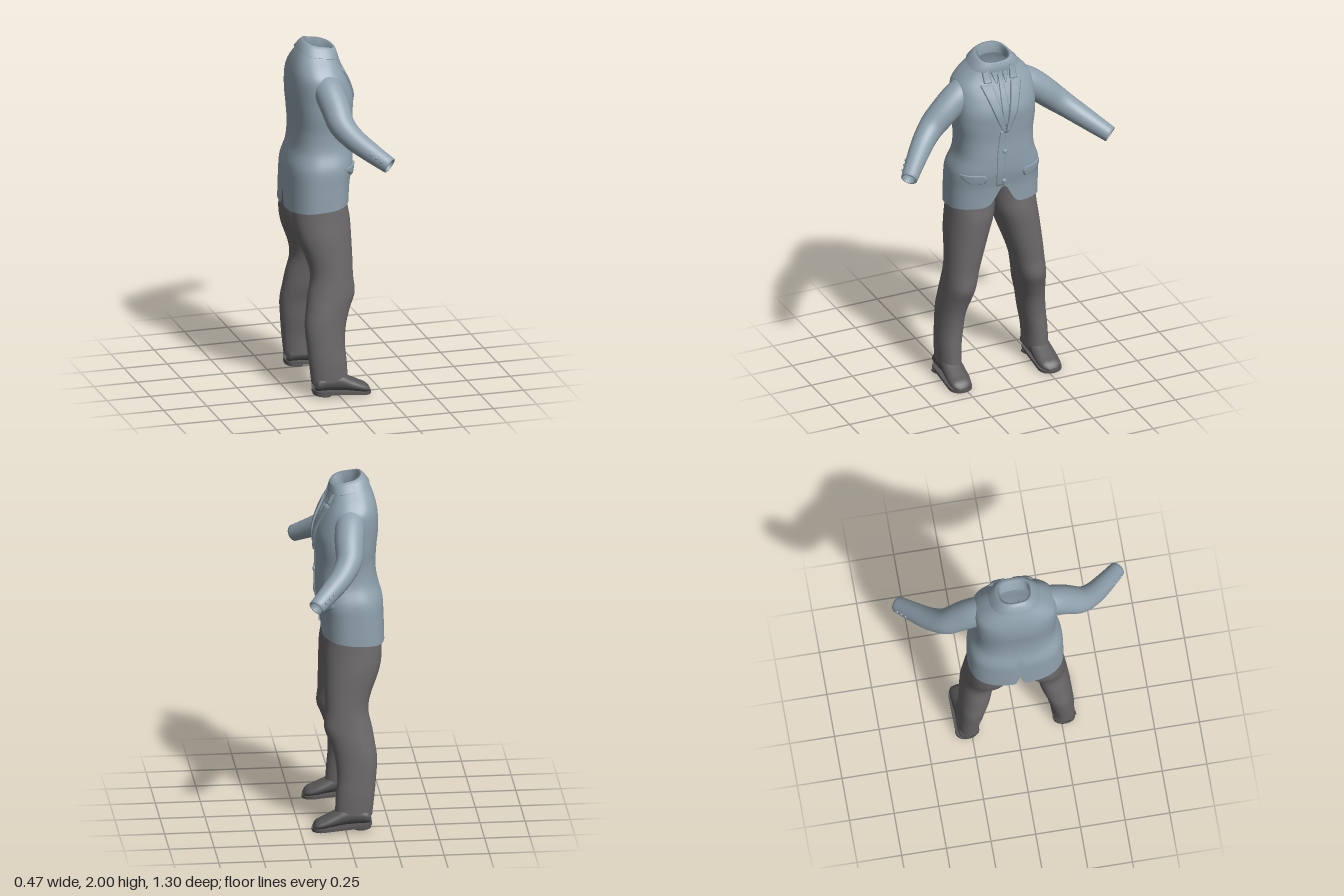
import * as THREE from 'three';

const mat = (name, color) => {
  const m = new THREE.MeshStandardMaterial({ color, side: THREE.DoubleSide });
  m.name = name;
  return m;
};

// Smooth surface through fn(u, v); u wraps round when closed
function loft(fn, nu, nv, closed = true) {
  const pos = [], idx = [], cols = closed ? nu : nu + 1;
  for (let j = 0; j <= nv; j++)
    for (let i = 0; i < cols; i++) pos.push(...fn(i / nu, j / nv));
  for (let j = 0; j < nv; j++)
    for (let i = 0; i < nu; i++) {
      const k = (i + 1) % cols;
      const a = j * cols + i, b = a + cols, c = j * cols + k, d = c + cols;
      idx.push(a, b, c, b, d, c);
    }
  const g = new THREE.BufferGeometry();
  g.setAttribute('position', new THREE.Float32BufferAttribute(pos, 3));
  g.setIndex(idx);
  g.computeVertexNormals();
  return g;
}

// Cubic interpolation of rows keyed by their first column
function profile(rows, t) {
  const n = rows.length;
  t = Math.min(Math.max(t, rows[0][0]), rows[n - 1][0]);
  let i = 0;
  while (i < n - 2 && t > rows[i + 1][0]) i++;
  const slope = (k, c) => {
    const a = rows[Math.max(k - 1, 0)], b = rows[Math.min(k + 1, n - 1)];
    return (b[c] - a[c]) / (b[0] - a[0]);
  };
  const p = rows[i], q = rows[i + 1], h = q[0] - p[0], s = (t - p[0]) / h;
  const s2 = s * s, s3 = s2 * s;
  return p.map((_, c) => c === 0 ? t :
    (2 * s3 - 3 * s2 + 1) * p[c] + (3 * s2 - 2 * s3) * q[c] +
    h * ((s3 - 2 * s2 + s) * slope(i, c) + (s3 - s2) * slope(i + 1, c)));
}

const spow = (v, e) => Math.sign(v) * Math.abs(v) ** e;
const TAU = Math.PI * 2, P = 2.6;

// Torso: y, back x, front x, half width
const TORSO = [
  [1.03, -.24, .11, .267], [1.2, -.235, .12, .265], [1.3, -.228, .137, .26],
  [1.4, -.2, .14, .227], [1.5, -.192, .137, .222], [1.6, -.197, .142, .233],
  [1.68, -.205, .143, .235], [1.76, -.205, .118, .235], [1.82, -.198, .09, .225],
  [1.87, -.185, .067, .188], [1.92, -.165, .053, .137], [1.96, -.142, .045, .1],
  [2.0, -.112, .04, .075]];
// Leg: y, back x, front x, inner z, outer z
const LEG = [
  [.085, -.15, .057, .2, .328], [.2, -.163, .05, .195, .328], [.3, -.173, .043, .18, .322],
  [.41, -.18, .053, .165, .315], [.5, -.168, .08, .14, .308], [.58, -.155, .11, .125, .3],
  [.68, -.135, .104, .105, .29], [.76, -.148, .105, .082, .283], [.9, -.2, .105, .035, .272],
  [1.0, -.216, .103, .003, .26], [1.1, -.205, .088, -.01, .248], [1.25, -.18, .08, -.02, .21]];
// Shoe: x, bottom y, top y, inner z, outer z
const UPPER = [
  [-.143, .05, .075, .235, .3], [-.135, .042, .11, .215, .32], [-.08, .04, .14, .207, .328],
  [0, .035, .14, .207, .328], [.06, .028, .108, .205, .332], [.12, .018, .078, .207, .334],
  [.165, .014, .055, .222, .325], [.18, .014, .03, .25, .298]];
const SLEEVE = [
  [-.05, 1.79, .12], [-.035, 1.755, .2], [-.022, 1.69, .285], [-.01, 1.61, .375],
  [.035, 1.55, .45], [.11, 1.49, .53], [.195, 1.43, .612]];
const SLEEVE_R = [[0, .08], [.2, .083], [.4, .077], [.58, .066], [.75, .058], [1, .046]];

function torsoPoint(a, y, off = 0) {
  const [, b, f, w] = profile(TORSO, y);
  return [(b + f) / 2 + ((f - b) / 2 + off) * spow(Math.cos(a), 2 / P), y,
    (w + off) * spow(Math.sin(a), 2 / P)];
}
const neckline = a => 1.972 - .022 * Math.cos(a);
// Hem cut away at the front, with a vent at the back
function hem(a) {
  const z = .265 * spow(Math.sin(a), 2 / P), c = Math.cos(a);
  const notch = c > 0 ? .125 * Math.exp(-((z / .055) ** 2)) : .1 * Math.exp(-((z / .014) ** 2));
  return 1.068 + .02 * c + notch;
}

// Raised panel lying on the chest; rows give y, z start, z end
function drape(rows, off, s = 1) {
  const nu = 10, nv = 24, y0 = rows[0][0], y1 = rows[rows.length - 1][0];
  return loft((u, v) => {
    const rim = u === 0 || u === 1 || v === 0 || v === 1;
    const inset = (t, n) => Math.min(Math.max((t * n - 1) / (n - 2), 0), 1);
    const y = y0 + (y1 - y0) * inset(v, nv);
    const [, za, zb] = profile(rows, y);
    const k = s > 0 ? inset(u, nu) : 1 - inset(u, nu);
    const z = s * (za + (zb - za) * k);
    const [, b, f, w] = profile(TORSO, y);
    const x = (b + f) / 2 + (f - b) / 2 * (1 - Math.min(Math.abs(z / w), .99) ** P) ** (1 / P);
    return [x + (rim ? -.003 : off), y, z];
  }, nu, nv, false);
}

export function createModel() {
  const model = new THREE.Group();
  const cloth = mat('blue grey jacket', 0x8fa1ad);
  const wool = mat('dark grey trousers', 0x6b686a);
  const leather = mat('charcoal shoes', 0x585657);
  const add = (name, geo, m, parent = model) => {
    const mesh = new THREE.Mesh(geo, m);
    mesh.name = name;
    parent.add(mesh);
    return mesh;
  };

  // Jacket body
  add('jacketBody', loft((u, v) => {
    const a = u * TAU, y = hem(a) + (neckline(a) - hem(a)) * v;
    return torsoPoint(a, y);
  }, 160, 70), cloth);

  // Turned-down collar with an inner lip
  const lip = [[-.05, 0], [-.046, .011], [-.01, .011], [.005, .006], [.002, -.01], [-.06, -.055]];
  add('collar', loft((u, v) => {
    const a = u * TAU, [dy, off] = lip[Math.round(v * 5)];
    return torsoPoint(a, neckline(a) + dy, off);
  }, 64, 5), cloth);

  // Tie and front overlap
  add('tie', drape([[1.6, -.008, .008], [1.72, -.02, .02], [1.87, -.012, .012],
    [1.9, -.02, .02], [1.94, -.022, .022]], .007), cloth);
  add('frontOverlap', drape([[1.22, .003, .05], [1.4, .003, .05], [1.57, -.003, .03]], .005), cloth);
  for (const y of [1.25, 1.44]) {
    const b = add('frontButton', new THREE.SphereGeometry(.014, 16, 10), cloth);
    b.scale.x = .6;
    b.position.set(profile(TORSO, y)[2] + .006, y, .005);
  }

  for (const s of [1, -1]) {
    const side = new THREE.Group();
    side.name = s > 0 ? 'frontHalf' : 'backHalf';
    model.add(side);

    // Lapels, shirt collar points and pocket flaps
    add('lapel', drape([[1.56, 0, .012], [1.65, .014, .055], [1.75, .036, .09],
      [1.84, .055, .122]], .013, s), cloth, side);
    add('upperLapel', drape([[1.852, .056, .098], [1.94, .062, .1]], .012, s), cloth, side);
    add('shirtCollarPoint', drape([[1.84, .026, .03], [1.9, .014, .05], [1.95, .006, .06]], .009, s), cloth, side);
    add('pocketFlap', drape([[1.255, .12, .2], [1.285, .11, .235], [1.305, .12, .24]], .012, s), cloth, side);

    // Sleeve, with the cuff turned in
    const curve = new THREE.CatmullRomCurve3(SLEEVE.map(([x, y, z]) => new THREE.Vector3(x, y, z * s)));
    const cuff = [[1, 1], [1, .8], [.95, .74], [.95, .01]];
    const n = 44;
    add('sleeve', loft((u, v) => {
      const j = Math.round(v * n), body = n - 3;
      const [t, k] = j <= body ? [j / body, 1] : cuff[j - body];
      const T = curve.getTangentAt(t);
      const e1 = new THREE.Vector3(1, 0, 0).addScaledVector(T, -T.x).normalize();
      const e2 = e1.clone().cross(T), r = profile(SLEEVE_R, t)[1] * k;
      return curve.getPointAt(t).addScaledVector(e1, r * Math.cos(u * TAU))
        .addScaledVector(e2, r * Math.sin(u * TAU)).toArray();
    }, 32, n), cloth, side);
    // Cuff buttons on the outer side
    for (const t of [.84, .89, .94]) {
      const T = curve.getTangentAt(t);
      const out = new THREE.Vector3(-.3, .1, s).addScaledVector(T, -T.dot(new THREE.Vector3(-.3, .1, s))).normalize();
      add('cuffButton', new THREE.SphereGeometry(.008, 10, 8), cloth, side).position
        .copy(curve.getPointAt(t)).addScaledVector(out, profile(SLEEVE_R, t)[1]);
    }

    // Trouser leg
    add('trouserLeg', loft((u, v) => {
      const a = u * TAU, [y, b, f, zi, zo] = profile(LEG, .085 + 1.165 * v);
      return [(b + f) / 2 + (f - b) / 2 * spow(Math.cos(a), 2 / 2.2), y,
        s * (zi + zo) / 2 + (zo - zi) / 2 * spow(Math.sin(a), 2 / 2.2)];
    }, 48, 56), wool, side);

    // Shoe upper
    add('shoeUpper', loft((u, v) => {
      const a = u * TAU, [x, yb, yt, zi, zo] = profile(UPPER, -.143 + .323 * v);
      return [x, (yb + yt) / 2 + (yt - yb) / 2 * Math.sin(a),
        s * (zi + zo) / 2 + (zo - zi) / 2 * spow(Math.cos(a), .8)];
    }, 32, 30), leather, side);

    // Sole with a heel block, sloping down to the toe
    const outline = (x0, x1) => {
      const shape = new THREE.Shape();
      const r = .045, w0 = .206, w1 = .338;
      shape.moveTo(x0 + r, w0);
      shape.lineTo(x1 - .06, w0 - .004);
      shape.bezierCurveTo(x1 + .02, w0, x1 + .02, w1, x1 - .06, w1);
      shape.lineTo(x0 + r, w1 - .008);
      shape.bezierCurveTo(x0 - .015, w1 - .01, x0 - .015, w0, x0 + r, w0);
      return shape;
    };
    const slab = (name, x0, x1, top, depth) => {
      const g = new THREE.ExtrudeGeometry(outline(x0, x1), { depth, bevelEnabled: false, curveSegments: 12 });
      g.rotateX(Math.PI / 2);
      const p = g.attributes.position;
      for (let i = 0; i < p.count; i++) p.setY(i, p.getY(i) + top - .085 * (p.getX(i) + .145));
      g.computeVertexNormals();
      add(name, g, leather, side).position.z = s > 0 ? 0 : -.544;
    };
    slab('sole', -.147, .186, .047, .015);
    slab('heel', -.143, -.04, .034, .014);
  }
  return model;
}
